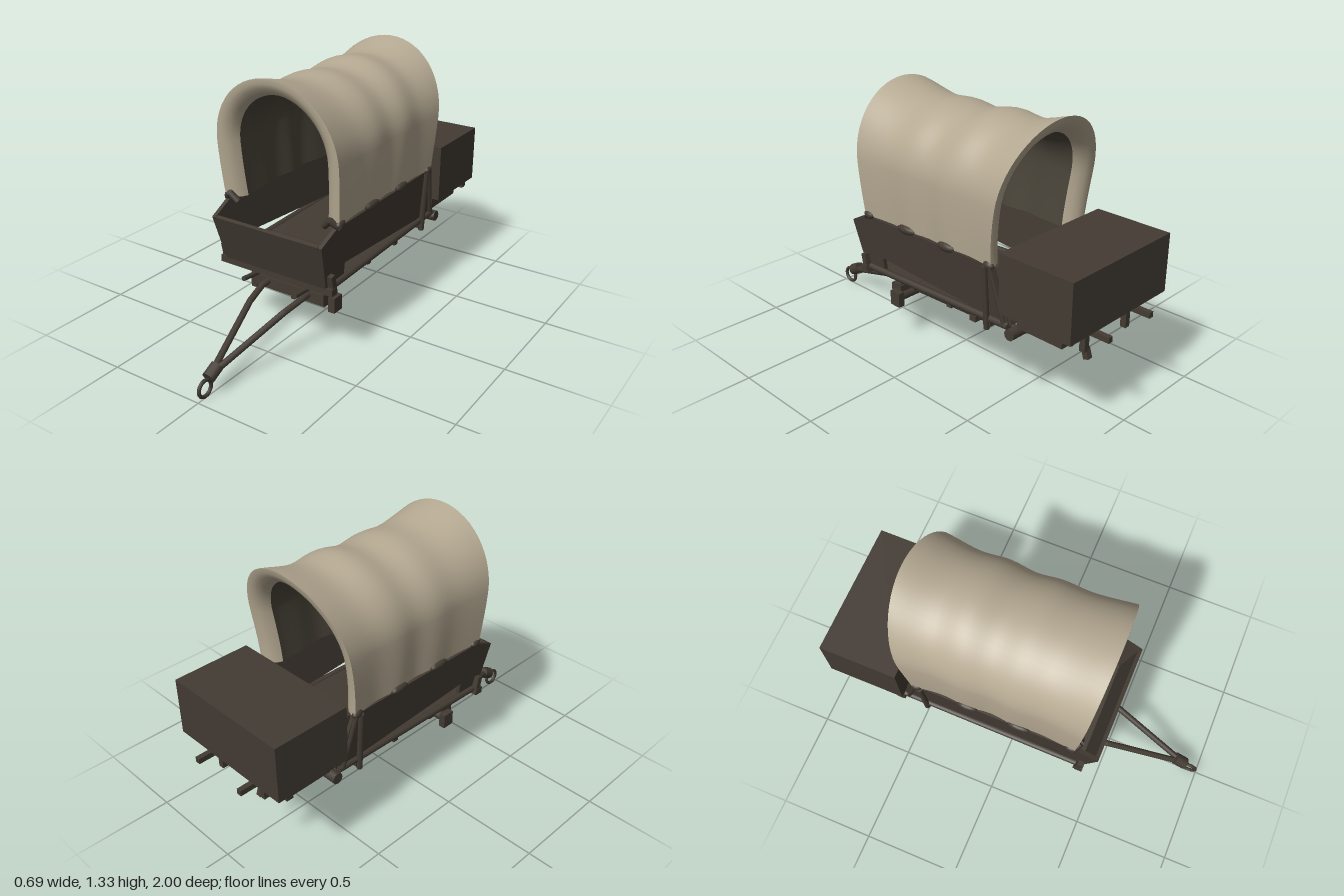
import * as THREE from 'three';

const wood = new THREE.MeshStandardMaterial({ color: 0x433b33 });
const canvas = new THREE.MeshStandardMaterial({ color: 0xb5a992, side: THREE.DoubleSide });
const lining = new THREE.MeshStandardMaterial({ color: 0x4c463b, side: THREE.DoubleSide });
wood.name = 'darkWood';
canvas.name = 'canvasCloth';
lining.name = 'shadedLining';

const V = (x, y, z) => new THREE.Vector3(x, y, z);
const UP = V(0, 1, 0);

export function createModel() {
  const model = new THREE.Group();
  model.name = 'coveredWagon';

  const add = (name, geometry, material = wood) => {
    const mesh = new THREE.Mesh(geometry, material);
    mesh.name = name;
    model.add(mesh);
    return mesh;
  };
  const box = (name, w, h, d, x, y, z, tilt = 0) => {
    const m = add(name, new THREE.BoxGeometry(w, h, d));
    m.position.set(x, y, z);
    m.rotation.x = tilt;
    return m;
  };
  // Round bar through a few points, one capped cylinder per stretch
  const rod = (name, points, r, sides = 10) => {
    for (let i = 1; i < points.length; i++) {
      const a = points[i - 1], b = points[i], dir = b.clone().sub(a);
      const m = add(name, new THREE.CylinderGeometry(r, r, dir.length() + r * 0.4, sides));
      m.position.copy(a).add(b).multiplyScalar(0.5);
      m.quaternion.setFromUnitVectors(UP, dir.normalize());
    }
  };

  // ---- Canvas cover: arch sections lofted from front to back ----
  // Each point is (fraction along the length, half width, crown height)
  const ridge = new THREE.CatmullRomCurve3([
    V(0, 0.34, 1.335), V(0.22, 0.325, 1.285), V(0.38, 0.331, 1.291), V(0.52, 0.32, 1.275),
    V(0.66, 0.332, 1.3), V(0.82, 0.323, 1.285), V(1, 0.34, 1.335)]);
  const LEG = 5, ARCH = 28, N = LEG * 2 + ARCH;
  const archPoint = (t, inset, dz, j) => {
    const s = ridge.getPoint(t);
    const w = s.y - inset, crown = s.z - inset, spring = 0.98, base = 0.7, foot = w - 0.015;
    let x, y;
    if (j < LEG || j > N - LEG) {
      const k = Math.min(j, N - j) / LEG;
      x = (foot + (w - foot) * Math.sin(k * Math.PI / 2)) * (j < LEG ? 1 : -1);
      y = base + (spring - base) * k;
    } else {
      const a = Math.PI * (j - LEG) / ARCH;
      x = w * Math.cos(a);
      y = spring + (crown - spring) * Math.sin(a);
    }
    const h = (y - base) / 0.635;
    const front = 0.38 + 0.06 * h, back = -0.47 - 0.115 * Math.pow(Math.max(h, 0), 1.7);
    return V(x, y, front + (back - front) * s.x + dz);
  };
  const loft = (stations) => {
    const pos = [], idx = [];
    stations.forEach(([t, inset, dz], i) => {
      for (let j = 0; j <= N; j++) {
        pos.push(...archPoint(t, inset, dz, j).toArray());
        if (i && j) {
          const a = (i - 1) * (N + 1) + j - 1, b = a + N + 1;
          idx.push(a, a + 1, b, a + 1, b + 1, b);
        }
      }
    });
    const g = new THREE.BufferGeometry();
    g.setAttribute('position', new THREE.Float32BufferAttribute(pos, 3));
    // Wind the faces so the outside is the front
    for (let i = 0; i < idx.length; i += 3) [idx[i + 1], idx[i + 2]] = [idx[i + 2], idx[i + 1]];
    g.setIndex(idx);
    g.computeVertexNormals();
    return g;
  };
  const span = Array.from({ length: 33 }, (_, i) => i / 32);
  add('canvasCover', loft(span.map(t => [t, 0, 0])), canvas);
  // Rolled hems at both openings
  const roll = [[0, 0], [0.025, 0.002], [0.05, -0.008], [0.075, -0.028], [0.09, -0.06]];
  add('frontHem', loft(roll.map(([i, z]) => [0, i, z]).reverse()), canvas);
  add('rearHem', loft(roll.map(([i, z]) => [1, i, -z])), canvas);
  add('coverLining', loft(span.map(t => [t, 0.055 + 0.035 * Math.pow(Math.abs(2 * t - 1), 4),
    0.06 * (2 * t - 1)])), lining);

  // ---- Wagon box ----
  const outline = [[0.5, 0.635], [0.385, 0.69], [-0.47, 0.7], [-0.555, 0.43],
    [0.29, 0.48], [0.29, 0.39], [0.43, 0.385]];
  for (const s of [1, -1]) {
    const g = new THREE.ExtrudeGeometry(new THREE.Shape(outline.map(p => new THREE.Vector2(...p))),
      { depth: 0.02, bevelEnabled: false });
    g.rotateY(-Math.PI / 2);
    const p = g.attributes.position;
    // Lean the boards outwards towards the top
    for (let i = 0; i < p.count; i++) {
      const out = 0.29 + (p.getY(i) - 0.385) * 0.09;
      p.setX(i, s > 0 ? p.getX(i) + out : p.getX(i) + 0.02 - out);
    }
    g.computeVertexNormals();
    add('sideBoard', g);
    rod('bottomRail', [V(s * 0.295, 0.4, 0.42), V(s * 0.295, 0.428, -0.55)], 0.017);
    box('cornerBracket', 0.03, 0.1, 0.03, s * 0.308, 0.42, 0.41, 0.2);
    rod('rearStake', [V(s * 0.305, 0.375, -0.43), V(s * 0.322, 0.69, -0.43)], 0.015, 6);
    rod('endStake', [V(s * 0.3, 0.43, -0.53), V(s * 0.322, 0.7, -0.46)], 0.012, 6);
    // Lashings along the lower edge of the cover
    for (const [z, len] of [[0.36, 0.035], [0.09, 0.06], [-0.18, 0.055], [-0.45, 0.03]]) {
      const k = add('canvasTie', new THREE.SphereGeometry(1, 10, 6));
      k.scale.set(0.018, 0.022, len);
      k.position.set(s * 0.318, 0.703, z);
    }
    rod('cornerTie', [V(s * 0.25, 0.69, 0.385), V(s * 0.285, 0.725, 0.395), V(s * 0.32, 0.69, 0.37)], 0.017, 8);
  }
  box('frontBoard', 0.58, 0.265, 0.02, 0, 0.51, 0.455, 0.273);
  box('tailBoard', 0.58, 0.27, 0.02, 0, 0.56, -0.515, 0.316);
  box('floor', 0.56, 0.012, 0.95, 0, 0.414, -0.06, 0.029);
  box('frontSill', 0.65, 0.035, 0.04, 0, 0.388, 0.415);
  for (const z of [0.075, -0.18, -0.43]) box('floorBeam', 0.6, 0.035, 0.03, 0, 0.4, z);

  // ---- Rear chest and its supports ----
  box('rearChest', 0.69, 0.292, 0.4, 0, 0.655, -0.738);
  box('chestBase', 0.56, 0.08, 0.255, 0, 0.469, -0.718);
  box('chestCrossbar', 0.66, 0.035, 0.035, 0, 0.49, -0.865);
  for (const s of [1, -1]) {
    box('chestBracket', 0.026, 0.028, 0.16, s * 0.15, 0.485, -0.92);
    box('bracketPost', 0.03, 0.12, 0.03, s * 0.15, 0.435, -0.865);
  }
  rod('rearAxle', [V(-0.31, 0.4, -0.575), V(0.31, 0.4, -0.575)], 0.028, 12);

  // ---- Front axle and turning gear ----
  rod('frontAxle', [V(-0.24, 0.24, 0.27), V(0.24, 0.24, 0.27)], 0.025, 10);
  box('lowerBolster', 0.42, 0.06, 0.07, 0, 0.268, 0.3);
  box('upperBolster', 0.32, 0.055, 0.035, 0, 0.338, 0.29);
  rod('kingPin', [V(0, 0.2, 0.285), V(0, 0.42, 0.285)], 0.014);
  for (const s of [1, -1]) {
    box('axleEnd', 0.035, 0.078, 0.065, s * 0.232, 0.237, 0.27);
    box('bolsterCap', 0.04, 0.07, 0.05, s * 0.19, 0.268, 0.3);
    rod('bolsterPost', [V(s * 0.15, 0.3, 0.29), V(s * 0.15, 0.41, 0.29)], 0.016);

    // Long rods beneath the box
    rod('springRod', [V(s * 0.15, 0.345, 0.48), V(s * 0.14, 0.308, 0.1), V(s * 0.12, 0.31, -0.5),
      V(s * 0.1, 0.35, -0.59), V(s * 0.1, 0.355, -0.68)], 0.012, 8);
    rod('reachRod', [V(s * 0.11, 0.25, 0.32), V(s * 0.09, 0.25, -0.2), V(s * 0.03, 0.293, -0.71)], 0.013, 8);

    // Forked tongue
    rod('tongueArm', [V(s * 0.01, 0.115, 0.87), V(s * 0.1, 0.25, 0.5), V(s * 0.12, 0.275, 0.38),
      V(s * 0.12, 0.29, -0.03)], 0.016);
  }
  box('reachCrossbar', 0.26, 0.03, 0.04, 0, 0.25, -0.17);
  box('rodCrossbar', 0.3, 0.025, 0.04, 0, 0.292, 0.0);
  box('rearHanger', 0.1, 0.07, 0.018, 0, 0.34, -0.725);
  box('rearHook', 0.03, 0.055, 0.03, 0, 0.258, -0.772, 0.3);
  rod('tongueCollar', [V(0, 0.12, 0.87), V(0, 0.095, 0.92)], 0.032, 10);
  const ring = add('hitchRing', new THREE.TorusGeometry(0.04, 0.009, 8, 20));
  ring.rotation.y = Math.PI / 2;
  ring.position.set(0, 0.052, 0.951);

  return model;
}
